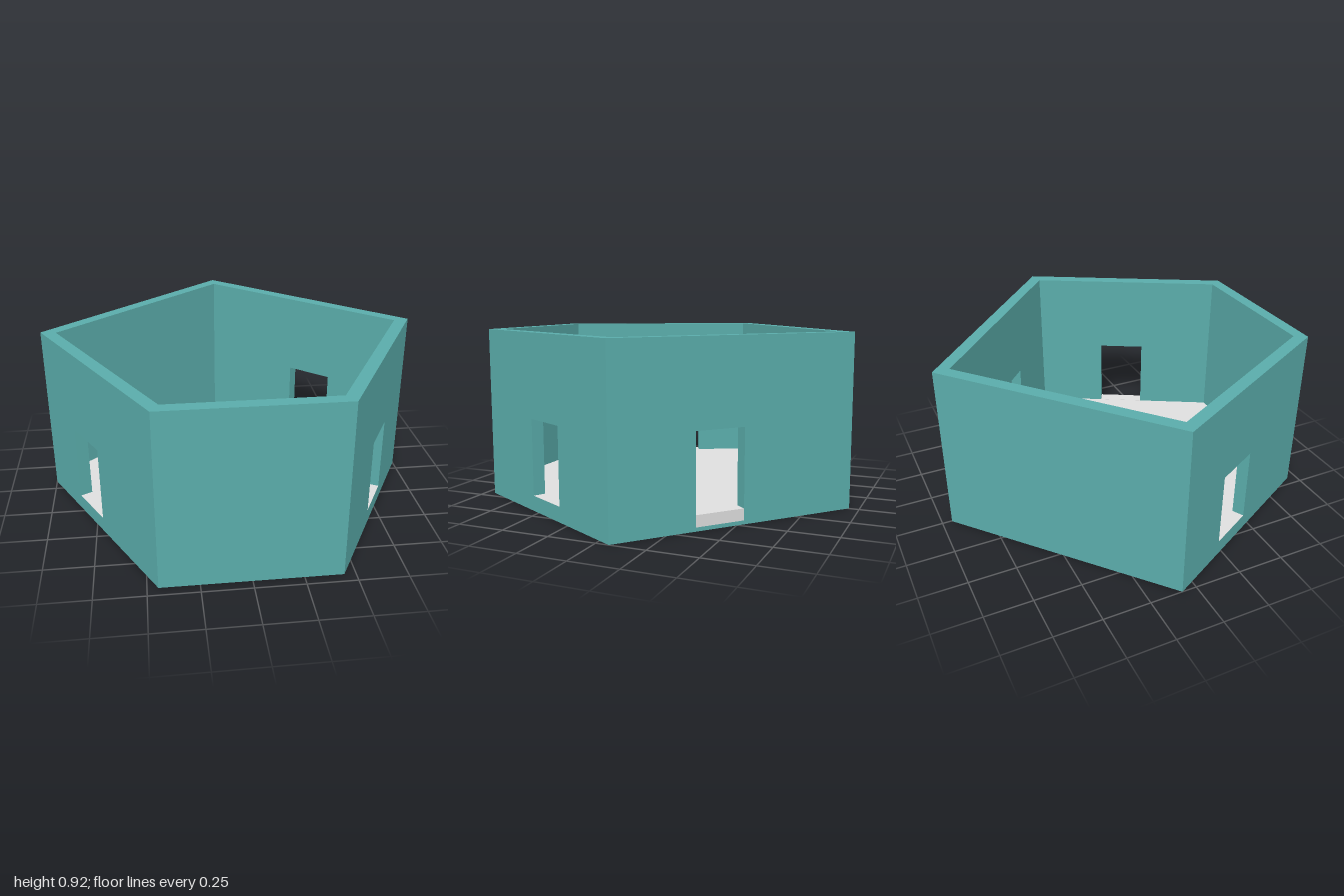
import * as THREE from 'three';

const H = 0.917, D = 0.065;            // wall height and thickness
const FLOOR_BASE = 0.02, FLOOR_TOP = 0.08;
const OPEN_W = 0.262, OPEN_TOP = 0.48;

// outer corners (x, z), counter-clockwise seen from above
const corners = [
  [-0.447, 0.948], [0.443, 0.948], [1, -0.066], [-0.003, -0.948], [-1, -0.077],
].map(([x, z]) => new THREE.Vector2(x, z));

// openings per wall: centre as a fraction of its length, and bottom height
const walls = [
  { name: 'frontWall' },
  { name: 'frontRightWall', at: 0.514, bottom: FLOOR_TOP },
  { name: 'backRightWall', at: 0.425, bottom: FLOOR_BASE },
  { name: 'backLeftWall' },
  { name: 'frontLeftWall', at: 0.405, bottom: FLOOR_TOP },
];

const corner = (i) => corners[(i + 5) % 5];

// distance the inner wall edge is pulled in at a mitred corner
function mitre(i) {
  const a = corner(i - 1).clone().sub(corner(i)).normalize();
  const b = corner(i + 1).clone().sub(corner(i)).normalize();
  return D / Math.tan(Math.acos(a.dot(b)) / 2);
}

// inner corner of the room
function innerCorner(i) {
  const a = corner(i - 1).clone().sub(corner(i)).normalize();
  const b = corner(i + 1).clone().sub(corner(i)).normalize();
  const half = Math.acos(a.dot(b)) / 2;
  return a.add(b).normalize().multiplyScalar(D / Math.sin(half)).add(corner(i));
}

function rectangle(Type, x0, y0, x1, y1) {
  const r = new Type();
  r.moveTo(x0, y0);
  r.lineTo(x1, y0);
  r.lineTo(x1, y1);
  r.lineTo(x0, y1);
  r.closePath();
  return r;
}

// upright panel with an optional opening and mitred ends; outer face at z = 0
function wallGeometry(length, m0, m1, opening) {
  const shape = rectangle(THREE.Shape, 0, 0, length, H);
  if (opening) {
    shape.holes.push(rectangle(THREE.Path, opening.x - OPEN_W / 2, opening.bottom,
      opening.x + OPEN_W / 2, OPEN_TOP));
  }
  const g = new THREE.ExtrudeGeometry(shape, { depth: D, bevelEnabled: false });
  g.translate(0, 0, -D);
  const p = g.attributes.position;
  for (let i = 0; i < p.count; i++) {
    if (p.getZ(i) > -D / 2) continue;
    if (p.getX(i) < 1e-4) p.setX(i, m0);
    else if (p.getX(i) > length - 1e-4) p.setX(i, length - m1);
  }
  g.computeVertexNormals();
  return g;
}

// horizontal slab filling the inside of the walls
function slab(name, y0, y1, material) {
  const shape = new THREE.Shape(corners.map((c, i) => {
    const p = innerCorner(i);
    return new THREE.Vector2(p.x, -p.y);
  }));
  const g = new THREE.ExtrudeGeometry(shape, { depth: y1 - y0, bevelEnabled: false });
  g.rotateX(-Math.PI / 2);
  g.translate(0, y0, 0);
  const mesh = new THREE.Mesh(g, material);
  mesh.name = name;
  return mesh;
}

export function createModel() {
  const model = new THREE.Group();
  model.name = 'pentagonRoom';
  const wallMat = new THREE.MeshStandardMaterial({ name: 'teal', color: 0x5aacaa });
  const floorMat = new THREE.MeshStandardMaterial({ name: 'lightGrey', color: 0xdedede });

  walls.forEach((w, i) => {
    const a = corner(i), b = corner(i + 1);
    const length = a.distanceTo(b);
    const group = new THREE.Group();
    group.name = w.name;
    group.position.set(a.x, 0, a.y);
    group.rotation.y = Math.atan2(-(b.y - a.y), b.x - a.x);

    const opening = w.at ? { x: w.at * length, bottom: w.bottom } : null;
    const panel = new THREE.Mesh(wallGeometry(length, mitre(i), mitre(i + 1), opening), wallMat);
    panel.name = w.name + 'Panel';
    group.add(panel);

    // floor carried through the opening
    if (opening) {
      const top = FLOOR_TOP + (w.bottom < FLOOR_TOP ? 0 : 0.001);
      const h = top - w.bottom;
      const sill = new THREE.Mesh(new THREE.BoxGeometry(OPEN_W, h, D), floorMat);
      sill.name = w.name + 'Threshold';
      sill.position.set(opening.x, w.bottom + h / 2, -D / 2);
      group.add(sill);
    }
    model.add(group);
  });

  model.add(slab('basePlate', 0, FLOOR_BASE, wallMat));
  model.add(slab('floor', FLOOR_BASE, FLOOR_TOP, floorMat));
  return model;
}
